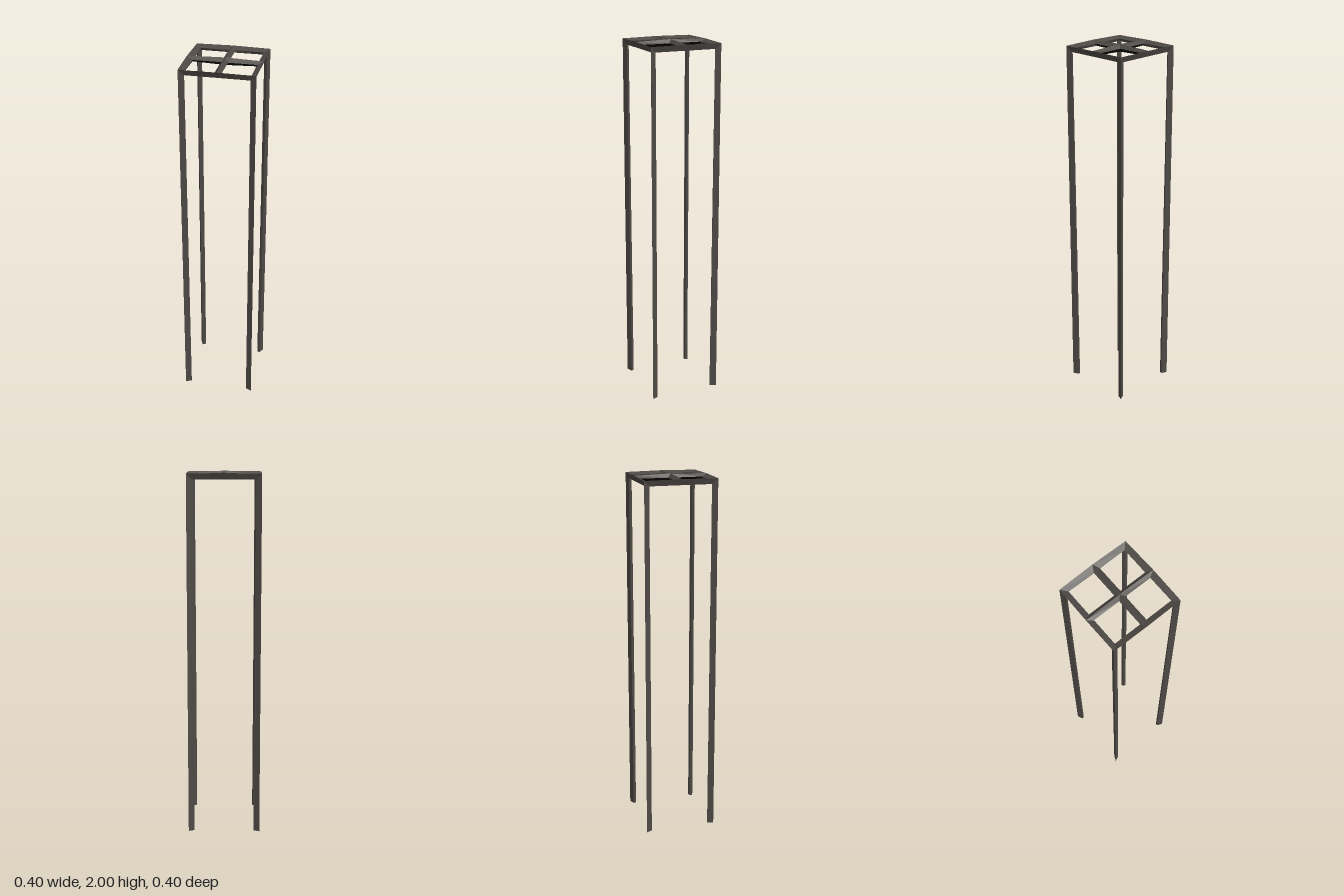
import * as THREE from 'three';

const P = 0.186;      // half width of the frame lines
const Y = 1.98;       // height of the top plane
const D = 0.02;       // bar thickness to each side of the plane
const I = 0.0185;     // inset of the bar edges
const M = D / Math.sqrt(2); // offset where two planes meet
const K = D / Math.sqrt(3); // offset where three planes meet

// Four-sided bar between two cross-sections of four points each;
// materials holds one material per side, the last one also covers the cap
function bar(name, materials, a, b, cap = false) {
  const va = a.map((p) => new THREE.Vector3(...p));
  const vb = b.map((p) => new THREE.Vector3(...p));
  const centre = new THREE.Vector3();
  [...va, ...vb].forEach((v) => centre.addScaledVector(v, 1 / 8));
  const positions = [];
  const geometry = new THREE.BufferGeometry();
  const quad = (side, p, q, r, s) => {
    // turn every face away from the middle of the bar
    const normal = r.clone().sub(p).cross(s.clone().sub(q));
    const mid = p.clone().add(q).add(r).add(s).multiplyScalar(0.25).sub(centre);
    const c = normal.dot(mid) > 0 ? [p, q, r, s] : [s, r, q, p];
    geometry.addGroup(positions.length / 3, 6, side);
    [0, 1, 2, 0, 2, 3].forEach((i) => positions.push(c[i].x, c[i].y, c[i].z));
  };
  for (let i = 0; i < 4; i++) {
    const j = (i + 1) % 4;
    quad(i, va[i], va[j], vb[j], vb[i]);
  }
  if (cap) quad(3, ...vb);
  geometry.setAttribute('position', new THREE.Float32BufferAttribute(positions, 3));
  geometry.computeVertexNormals();
  const mesh = new THREE.Mesh(geometry, materials);
  mesh.name = name;
  return mesh;
}

export function createModel() {
  const metal = new THREE.MeshStandardMaterial({ color: 0x4e4945 });
  metal.name = 'dark metal';
  const black = new THREE.MeshStandardMaterial({ color: 0x080808 });
  black.name = 'black underside';
  const plain = [metal, metal, metal, metal];
  const model = new THREE.Group();
  model.name = 'tallStandFrame';

  // Shared points of one quarter
  const cornerOuter = [P + K, Y + K, P + K];
  const cornerInner = [P - K, Y - K, P - K];
  const midOuter = [0, Y + M, P + M];
  const midInner = [0, Y - M, P - M];

  for (let n = 0; n < 4; n++) {
    const quarter = new THREE.Group();
    quarter.name = 'frameQuarter' + (n + 1);
    quarter.rotation.y = n * Math.PI / 2;

    // Leg
    quarter.add(bar('leg', plain,
      [cornerOuter, [P - I, Y - I, P], cornerInner, [P, Y - I, P - I]],
      [[P + M, 0, P + M], [P - I, 0, P], [P - M, 0, P - M], [P, 0, P - I]], true));

    // Two mitred halves of the top rim
    for (const s of [1, -1]) {
      const flip = ([x, y, z]) => [s * x, y, z];
      quarter.add(bar('topRail', plain,
        [cornerOuter, [P - I, Y, P - I], cornerInner, [P - I, Y - I, P]].map(flip),
        [midOuter, [I, Y, P - I], midInner, [0, Y - I, P]].map(flip)));
    }

    // Arm of the top cross, black on its two lower sides
    quarter.add(bar('crossArm', [metal, black, black, metal],
      [[0, Y + D, 0], [I, Y, I], [0, Y - D, 0], [-I, Y, I]],
      [midOuter, [I, Y, P - I], midInner, [-I, Y, P - I]]));

    model.add(quarter);
  }
  return model;
}
